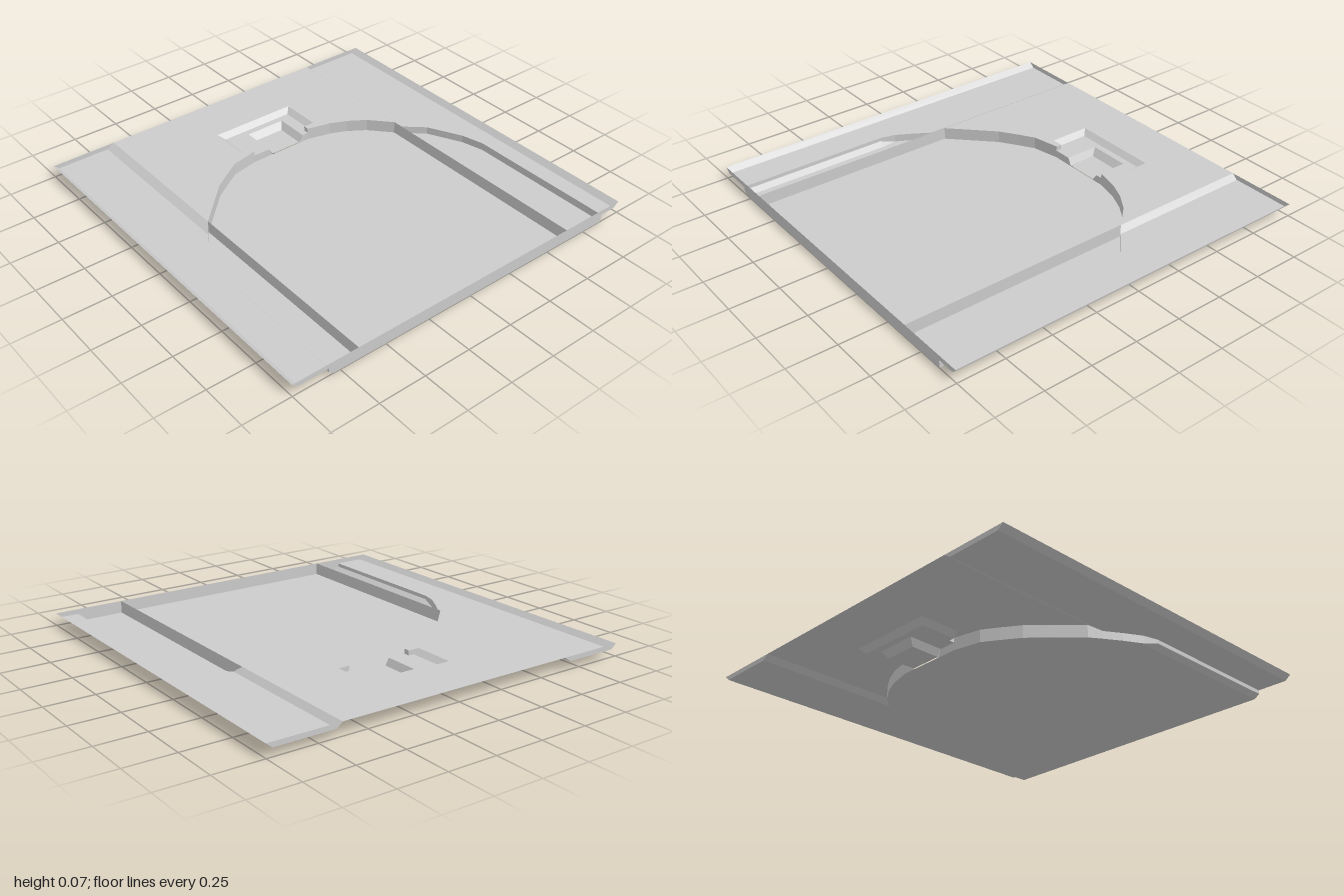
import * as THREE from 'three';

const TOP = 0.065, MID = 0.04;
const material = new THREE.MeshStandardMaterial({ color: 0xcccccc, flatShading: true, side: THREE.DoubleSide });

// Height of the folded sheet across z
const fold = [[-1, TOP], [-0.97, MID], [-0.66, MID], [-0.63, TOP], [0.65, TOP], [0.69, MID], [0.97, MID], [1, TOP]];
function height(z) {
  for (let i = 1; i < fold.length; i++) {
    const [z0, y0] = fold[i - 1], [z1, y1] = fold[i];
    if (z <= z1 + 1e-6) return y0 + (y1 - y0) * (z - z0) / (z1 - z0);
  }
  return TOP;
}

// Rounded outline of the tray as [x, z], split at the pocket
const backRim = [[1, -0.88], [0.19, -0.88], [0.07, -0.85], [-0.11, -0.76], [-0.2, -0.66], [-0.23, -0.63],
  [-0.34, -0.53], [-0.4, -0.44], [-0.44, -0.35], [-0.47, -0.225]];
const frontRim = [[-0.47, 0.125], [-0.44, 0.27], [-0.39, 0.35], [-0.33, 0.44], [-0.22, 0.55], [-0.12, 0.65],
  [-0.06, 0.69], [0.02, 0.74], [0.11, 0.79], [0.19, 0.81], [1, 0.81]];
// Pocket edge, and the same edge moved in at the foot of its sloping walls
const pocketEdge = [[-0.47, -0.225], [-0.5, -0.225], [-0.5, -0.285], [-0.72, -0.285],
  [-0.72, 0.185], [-0.5, 0.185], [-0.5, 0.125], [-0.47, 0.125]];
const pocketFoot = [[-0.47, -0.225], [-0.5, -0.225], [-0.5, -0.255], [-0.69, -0.255],
  [-0.69, 0.155], [-0.5, 0.155], [-0.5, 0.125], [-0.47, 0.125]];
const wellEdge = [[-0.47, -0.19], [-0.655, -0.19], [-0.655, 0.03], [-0.47, 0.03]];
const wellFoot = [[-0.47, -0.165], [-0.625, -0.165], [-0.625, 0.01], [-0.47, 0.01]];

function add(group, name, geometry) {
  const mesh = new THREE.Mesh(geometry, material);
  mesh.name = name;
  group.add(mesh);
}

// Flat or folded sheet over an [x, z] polygon
function sheet(points, yAt) {
  const shape = new THREE.Shape(points.map(([x, z]) => new THREE.Vector2(x, -z)));
  const g = new THREE.ShapeGeometry(shape).rotateX(-Math.PI / 2);
  const p = g.attributes.position;
  for (let i = 0; i < p.count; i++) p.setY(i, yAt(p.getZ(i)));
  g.computeVertexNormals();
  return g;
}

// Strip of quads between two paths of [x, y, z]
function strip(a, b) {
  const index = [];
  for (let i = 0; i + 1 < a.length; i++) {
    const n = a.length + i;
    index.push(i, n, i + 1, i + 1, n, n + 1);
  }
  const g = new THREE.BufferGeometry();
  g.setAttribute('position', new THREE.Float32BufferAttribute([...a, ...b].flat(), 3));
  g.setIndex(index);
  g.computeVertexNormals();
  return g;
}

const at = (path, y) => path.map(([x, z]) => [x, typeof y === 'function' ? y(z) : y, z]);

// Upright end panel at x from a [z, y] polygon
function endPanel(x, points) {
  const shape = new THREE.Shape(points.map(([z, y]) => new THREE.Vector2(-z, y)));
  return new THREE.ShapeGeometry(shape).rotateY(Math.PI / 2).translate(x, 0, 0);
}

export function createModel() {
  const model = new THREE.Group();
  model.name = 'foldedTrayPanel';

  // Folded top sheet, one band per fold
  const edge = [...backRim, ...pocketEdge.slice(1, -1), ...frontRim];
  for (let i = 0; i + 1 < fold.length; i++) {
    const z0 = fold[i][0], z1 = fold[i + 1][0];
    const points = [[-1, z1], [-1, z0]];
    if (z0 < -0.88 || z0 > 0.81) points.push([1, z0]);
    points.push(...edge.filter(([, z]) => z >= z0 - 1e-6 && z <= z1 + 1e-6));
    if (z1 < -0.88 || z1 > 0.81) points.push([1, z1]);
    add(model, 'topSheetBand' + i, sheet(points, height));
  }

  // Tray walls, the front one with a bevelled foot
  const inset = frontRim.map(([x, z]) => [x, z > 0.8 ? 0.78 : z]);
  add(model, 'trayBackWall', strip(at(backRim, height), at(backRim, 0)));
  add(model, 'trayFrontWall', strip(at(frontRim, height), at(frontRim, 0.02)));
  add(model, 'trayFrontBevel', strip(at(frontRim, 0.02), at(inset, 0)));
  add(model, 'trayFloor', sheet([...backRim, ...inset], () => 0));

  // Pocket with a deeper well that opens into the tray
  add(model, 'pocketWall', strip(at(pocketEdge, TOP), at(pocketFoot, MID)));
  add(model, 'pocketFloor', sheet([...pocketFoot, ...[...wellEdge].reverse()], () => MID));
  add(model, 'wellWall', strip(at(wellEdge, MID), at(wellFoot, 0.005)));
  add(model, 'wellFloor', sheet(wellFoot, () => 0.005));
  for (const [a, b, c] of [[-0.225, -0.19, -0.165], [0.125, 0.03, 0.01]]) {
    add(model, 'wellCheek', strip([[-0.47, MID, a], [-0.47, MID, b]], [[-0.47, 0, a], [-0.47, 0, c]]));
  }

  // Thin upright ribs across the tray, in line with the folds
  for (const [x, z] of [[-0.23, -0.63], [-0.12, 0.65]]) {
    add(model, 'trayRib', strip([[x, TOP, z], [1, TOP, z]], [[x, 0, z], [1, 0, z]]));
  }

  // End panels
  add(model, 'trayEndPanel', endPanel(1, [[1, TOP], [0.97, MID], [0.81, MID], [0.81, 0.02], [0.78, 0],
    [-0.88, 0], [-0.88, MID], [-0.97, MID], [-1, TOP]]));
  add(model, 'backChannelEnd', endPanel(-1, fold.slice(0, 4)));
  add(model, 'frontChannelEnd', endPanel(-1, fold.slice(4)));

  return model;
}
